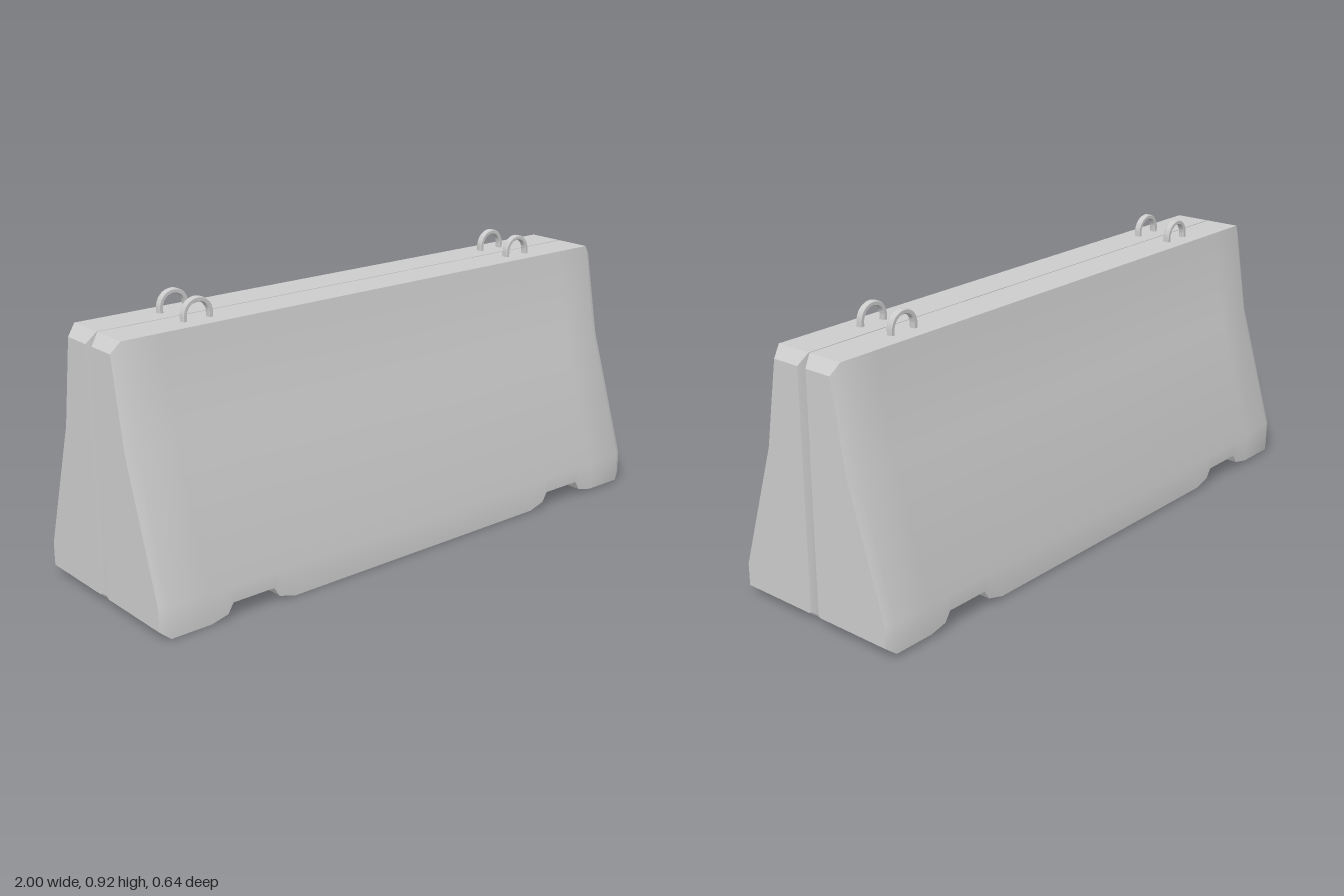
import * as THREE from 'three';
import { toCreasedNormals } from 'three/addons/utils/BufferGeometryUtils.js';

// Slightly crooked casting: small skew and lean shared by all parts
const skew = new THREE.Matrix4().set(
  1, 0, 0, 0,
  0.002, 1, -0.01, 0.001,
  0.0075, -0.0105, 1, -0.001,
  0, 0, 0, 1
);

// Stations along half the length: x, underside height, end inset, top height, seam chamfer
const half = [
  [1.0, 0.03, 0.015, 0.815, 0.006],
  [0.97, 0.006, 0, 0.85, 0.006],
  [0.83, 0.006, 0, 0.85, 0.006],
  [0.77, 0.02, 0, 0.85, 0.015],
  [0.75, 0.052, 0, 0.85, 0.015],
  [0.60, 0.052, 0, 0.85, 0.015],
  [0.58, 0.02, 0, 0.85, 0.015],
  [0.52, 0.003, 0, 0.85, 0.006],
];
const stations = [...half.map(([x, ...rest]) => [-x, ...rest]), ...[...half].reverse()];

// Flared cross-section of one half, from outer foot over the top to the seam
function section([x, b, inset, top, c]) {
  const seam = 0.002 + inset;
  return [
    [0.3125 - inset, b], [0.3125 - inset, 0.105], [0.179 - inset, 0.53], [0.127 - inset * 0.8, top],
    [seam, top], [seam, b + c], [seam + c, b],
  ].map(([z, y]) => [x, y, z]);
}

function halfBarrierGeometry() {
  const n = 7, index = [];
  const positions = stations.flatMap(s => section(s).flat());
  for (let i = 0; i < stations.length - 1; i++) {
    for (let j = 0; j < n; j++) {
      const a = i * n + j, b = i * n + (j + 1) % n, c = b + n, d = a + n;
      index.push(a, d, c, a, c, b);
    }
  }
  // End caps, fanned from the lower seam corner
  const last = (stations.length - 1) * n;
  for (let k = 1; k < n - 1; k++) {
    const p = (5 + k) % n, q = (6 + k) % n;
    index.push(5, p, q, last + 5, last + q, last + p);
  }
  const g = new THREE.BufferGeometry();
  g.setAttribute('position', new THREE.Float32BufferAttribute(positions, 3));
  g.setIndex(index);
  return g;
}

// Arched lifting eye with short straight legs
function liftingLoopGeometry() {
  const R = 0.054, r = 0.038, cy = 0.865, foot = 0.84;
  const s = new THREE.Shape();
  s.moveTo(R, foot);
  s.lineTo(R, cy);
  s.absarc(0, cy, R, 0, Math.PI, false);
  s.lineTo(-R, foot);
  s.lineTo(-r, foot);
  s.lineTo(-r, cy);
  s.absarc(0, cy, r, Math.PI, 0, true);
  s.lineTo(r, foot);
  const g = new THREE.ExtrudeGeometry(s, {
    depth: 0.014, curveSegments: 10, bevelEnabled: true,
    bevelThickness: 0.004, bevelSize: 0.003, bevelOffset: -0.003, bevelSegments: 1,
  });
  return g.translate(0, 0, -0.007);
}

export function createModel() {
  const group = new THREE.Group();
  const material = new THREE.MeshStandardMaterial({ color: 0xcccccc });
  const add = (geometry, name) => {
    const mesh = new THREE.Mesh(toCreasedNormals(geometry.applyMatrix4(skew), 0.55), material);
    mesh.name = name;
    group.add(mesh);
  };

  // Two concrete halves, back to back
  add(halfBarrierGeometry(), 'frontBarrier');
  add(halfBarrierGeometry().rotateY(Math.PI), 'backBarrier');

  // Two lifting loops on each half
  for (const x of [-0.672, 0.672]) {
    for (const z of [-0.063, 0.063]) {
      add(liftingLoopGeometry().translate(x, 0, z),
        (z > 0 ? 'front' : 'back') + (x > 0 ? 'Left' : 'Right') + 'LiftingLoop');
    }
  }
  return group;
}
